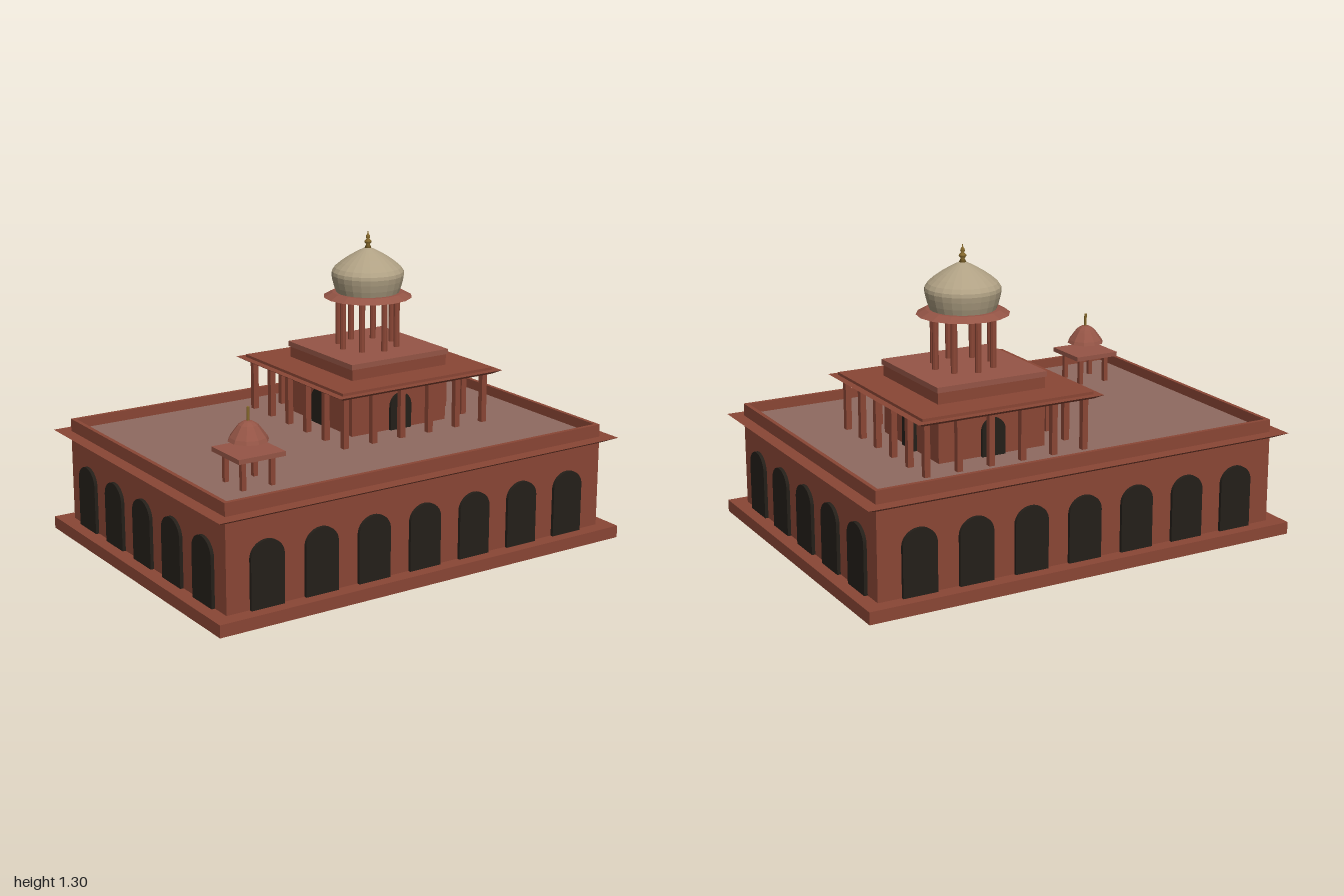
import * as THREE from 'three';

const mat = (color, flatShading = true, side = THREE.FrontSide) => {
  const m = new THREE.MeshStandardMaterial({ flatShading, side });
  m.color.set(color);
  return m;
};
const stone = mat(0x8a4635);
const shellStone = mat(0x8a4635, true, THREE.DoubleSide);
const paleStone = mat(0x955546);
const terraceStone = mat(0x8f6a60);
const dark = mat(0x241f19, false);
const kioskStone = mat(0x955546, true, THREE.DoubleSide);
const cream = mat(0xb0a184, true, THREE.DoubleSide);
const gold = mat(0x86692c, false);

const ROOF = 0.466; // terrace level

function add(parent, name, geometry, material, x = 0, y = 0, z = 0) {
  const mesh = new THREE.Mesh(geometry, material);
  mesh.name = name;
  mesh.position.set(x, y, z);
  parent.add(mesh);
  return mesh;
}

// Box given by half sizes and its bottom and top heights
function block(parent, name, hx, hz, y0, y1, material = stone, x = 0, z = 0) {
  return add(parent, name, new THREE.BoxGeometry(hx * 2, y1 - y0, hz * 2), material, x, (y0 + y1) / 2, z);
}

// Eave slab whose underside is drawn in by "inset"
function eave(parent, name, hx, hz, y0, y1, inset) {
  const mesh = block(parent, name, hx, hz, y0, y1);
  const p = mesh.geometry.attributes.position;
  for (let i = 0; i < p.count; i++) {
    if (p.getY(i) < 0) {
      p.setX(i, p.getX(i) - Math.sign(p.getX(i)) * inset);
      p.setZ(i, p.getZ(i) - Math.sign(p.getZ(i)) * inset);
    }
  }
  mesh.geometry.computeVertexNormals();
}

// Round-headed panel standing on y = y0, facing +z
function archGeometry(halfWidth, y0, spring, rise, depth) {
  const s = new THREE.Shape();
  s.moveTo(-halfWidth, y0);
  s.lineTo(halfWidth, y0);
  s.lineTo(halfWidth, spring);
  s.absellipse(0, spring, halfWidth, rise, 0, Math.PI, false);
  s.lineTo(-halfWidth, y0);
  return new THREE.ExtrudeGeometry(s, { depth, bevelEnabled: false, curveSegments: 16 });
}

// A row of arches on all four walls
function archRows(parent, geometry, countX, countZ, spacing, outX, outZ) {
  for (let side = 0; side < 4; side++) {
    const row = new THREE.Group();
    row.name = 'archRow';
    row.rotation.y = side * Math.PI / 2;
    const count = side % 2 ? countZ : countX;
    const out = side % 2 ? outX : outZ;
    for (let i = 0; i < count; i++) {
      add(row, 'archedOpening', geometry, dark, (i - (count - 1) / 2) * spacing, 0, out);
    }
    parent.add(row);
  }
}

function lathe(points, segments) {
  return new THREE.LatheGeometry(points.map(([r, y]) => new THREE.Vector2(r, y)), segments);
}

function createBase() {
  const g = new THREE.Group();
  g.name = 'mainBuilding';

  // Plinth is a shell, open underneath: leave out the box's bottom face
  const plinth = block(g, 'plinth', 1, 0.732, 0, 0.053, shellStone);
  const faces = Array.from(plinth.geometry.index.array);
  faces.splice(18, 6);
  plinth.geometry.setIndex(faces);
  plinth.geometry.clearGroups();

  block(g, 'mainWalls', 0.933, 0.667, 0.053, 0.455);
  eave(g, 'mainEave', 0.99, 0.725, 0.428, 0.455, 0.055);
  block(g, 'terrace', 0.916, 0.65, 0.45, ROOF, terraceStone);
  for (const s of [-1, 1]) {
    block(g, 'parapetLong', 0.933, 0.009, 0.455, 0.51, stone, 0, s * 0.658);
    block(g, 'parapetShort', 0.009, 0.649, 0.455, 0.51, stone, s * 0.924, 0);
  }
  // Panels reach just through the top of the plinth
  archRows(g, archGeometry(0.076, 0.05, 0.263, 0.07, 0.02), 7, 5, 0.251, 0.928, 0.661);
  return g;
}

function createPavilion() {
  const g = new THREE.Group();
  g.name = 'pavilion';
  block(g, 'pavilionWalls', 0.248, 0.248, ROOF, 0.764);
  block(g, 'pavilionCornice', 0.254, 0.254, 0.764, 0.787, paleStone);
  eave(g, 'verandaEave', 0.425, 0.425, 0.685, 0.703, 0.032);
  block(g, 'verandaRoof', 0.393, 0.393, 0.7, 0.715);
  archRows(g, archGeometry(0.054, ROOF, 0.57, 0.057, 0.02), 1, 1, 0, 0.242, 0.242);

  // Veranda posts around the perimeter, six to a side
  for (let i = 0; i < 6; i++) {
    for (let j = 0; j < 6; j++) {
      if (i % 5 && j % 5) continue;
      block(g, 'verandaPost', 0.0128, 0.0128, ROOF, 0.69, stone, (i - 2.5) * 0.146, (j - 2.5) * 0.146);
    }
  }

  // Ring of columns carrying the dome
  const column = new THREE.CylinderGeometry(0.014, 0.014, 0.228, 10);
  for (let i = 0; i < 8; i++) {
    const a = i * Math.PI / 4;
    add(g, 'domeColumn', column, stone, Math.cos(a) * 0.13, 0.9, Math.sin(a) * 0.13);
  }
  add(g, 'domeEave', new THREE.CylinderGeometry(0.157, 0.196, 0.021, 16), paleStone, 0, 1.0205, 0);

  // Low drum, then a swelling dome that draws in to a point
  add(g, 'domeDrum', lathe([[0.139, 1.03], [0.148, 1.055], [0.156, 1.085], [0.16, 1.108]], 24), cream);
  add(g, 'dome', lathe([[0.16, 1.108], [0.158, 1.123], [0.146, 1.141], [0.12, 1.163], [0.09, 1.184],
    [0.055, 1.205], [0.024, 1.221], [0, 1.23]], 24), cream);
  add(g, 'finial', lathe([[0, 1.22], [0.015, 1.225], [0.008, 1.24], [0.016, 1.25], [0.015, 1.256],
    [0.006, 1.264], [0.01, 1.272], [0.008, 1.28], [0.003, 1.287], [0, 1.305]], 12), gold);
  g.position.set(0.267, 0, -0.135);
  return g;
}

function createKiosk() {
  const g = new THREE.Group();
  g.name = 'roofKiosk';
  for (const x of [-0.067, 0.067]) {
    for (const z of [-0.067, 0.067]) {
      block(g, 'kioskPost', 0.01, 0.01, ROOF, 0.589, stone, x, z);
    }
  }
  block(g, 'kioskSlab', 0.107, 0.107, 0.588, 0.608, paleStone);
  // Sloping skirt with a small cap above it
  add(g, 'kioskSkirt', lathe([[0.084, 0.645], [0.077, 0.66], [0.049, 0.698]], 10), kioskStone);
  add(g, 'kioskCap', lathe([[0.049, 0.698], [0.04, 0.709], [0.02, 0.722], [0, 0.726]], 10), kioskStone);
  add(g, 'kioskFinial', new THREE.CylinderGeometry(0.006, 0.006, 0.062, 8), gold, 0, 0.75, 0);
  g.position.set(-0.667, 0, 0.398);
  return g;
}

export function createModel() {
  const model = new THREE.Group();
  model.name = 'domedBuilding';
  model.add(createBase(), createPavilion(), createKiosk());
  return model;
}
